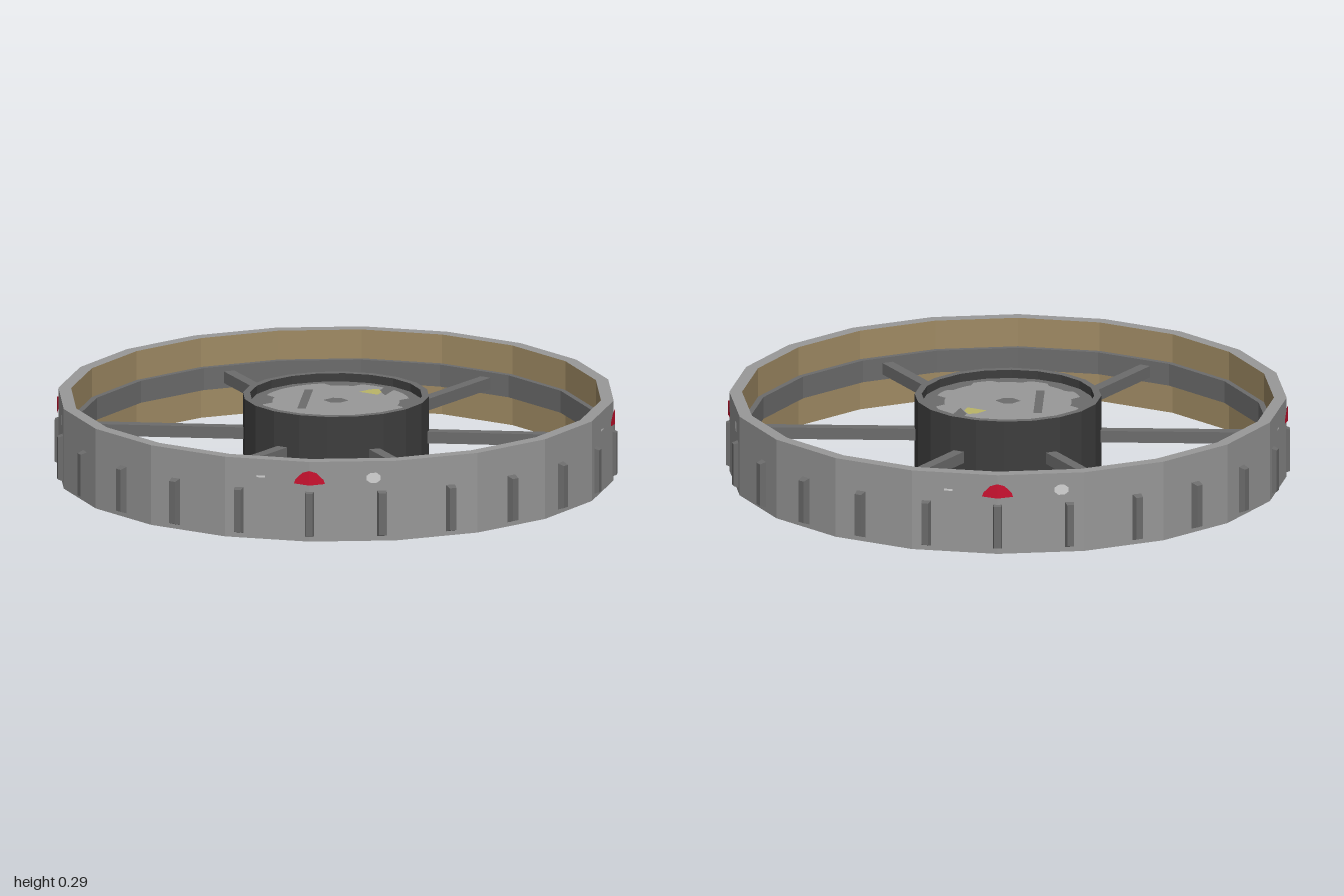
import * as THREE from 'three';

const SIDES = 20, R = 0.985, H = 0.29, MID = H / 2;

export function createModel() {
  const model = new THREE.Group();
  model.name = 'spokedWheel';

  const mat = (name, color, double) => {
    const m = new THREE.MeshStandardMaterial({ color, flatShading: true });
    m.name = name;
    if (double) m.side = THREE.DoubleSide;
    return m;
  };
  const lightGrey = mat('light grey', 0x989898);
  const darkGrey = mat('dark grey', 0x6c6c6c);
  const black = mat('charcoal', 0x3e3e3e);
  const tan = mat('tan', 0xa08b64);
  const red = mat('red', 0xcc1230, true);
  const yellow = mat('yellow', 0xbab568);
  const white = mat('pale grey', 0xd4d4d4, true);

  const add = (parent, name, geo, material) => {
    const m = new THREE.Mesh(geo, material);
    m.name = name;
    parent.add(m);
    return m;
  };
  const lathe = (pts) =>
    new THREE.LatheGeometry(pts.map(([x, y]) => new THREE.Vector2(x, y)), SIDES);
  const shape = (pts) => new THREE.Shape(pts.map(([x, y]) => new THREE.Vector2(x, y)));

  // Outer ring, its tan lining and the inner ledge holding the spokes
  add(model, 'ring', lathe([[0.94, 0], [R, 0], [R, 0.21], [R, H], [0.94, H]]), lightGrey);
  add(model, 'ringLining', lathe([[0.94, H], [0.94, 0]]), tan);
  add(model, 'ringLedge',
    lathe([[0.94, 0.105], [0.92, 0.105], [0.92, 0.185], [0.94, 0.185]].reverse()), darkGrey);

  // Tapered tread ribs around the ring
  const rib = new THREE.BoxGeometry(0.042, 0.18, 0.04);
  const p = rib.attributes.position;
  for (let i = 0; i < p.count; i++) {
    if (p.getZ(i) > 0) p.setXYZ(i, p.getX(i) * 0.6, p.getY(i) * 0.85, p.getZ(i));
  }
  rib.translate(0, 0.1, 0.977);
  for (let i = 0; i < 24; i++) {
    add(model, 'treadRib', rib, darkGrey).rotation.y = (i * Math.PI) / 12;
  }

  // Spokes
  const spoke = new THREE.BoxGeometry(0.61, 0.042, 0.04);
  spoke.translate(0.62, MID, 0);
  for (let i = 0; i < 6; i++) add(model, 'spoke', spoke, darkGrey).rotation.y = (i * Math.PI) / 3;

  // Painted marks, bent to follow the facets of the ring
  const bend = (shapes) => {
    const g = new THREE.ShapeGeometry(shapes);
    const q = g.attributes.position;
    for (let i = 0; i < q.count; i++) {
      q.setZ(i, R + 0.004 - Math.abs(q.getX(i)) * Math.tan(Math.PI / SIDES));
    }
    return g;
  };
  const half = (s) => shape([[0, 0.205], [s * 0.055, 0.21], [s * 0.05, 0.225],
    [s * 0.025, 0.25], [0, 0.258]]);
  const redMark = bend([half(1), half(-1)]);
  const dot = [];
  for (let i = 0; i < 8; i++) {
    const a = (i * Math.PI) / 4 + Math.PI / 8;
    dot.push([0.225 + 0.027 * Math.cos(a), 0.23 + 0.02 * Math.sin(a)]);
  }
  const dash = [[-0.19, 0.224], [-0.16, 0.224], [-0.16, 0.231], [-0.19, 0.231]];
  const paleMarks = bend([shape(dot), shape(dash)]);
  for (let i = 0; i < 4; i++) {
    add(model, 'redMark', redMark, red).rotation.y = (i * Math.PI) / 2;
    add(model, 'paleMarks', paleMarks, white).rotation.y = (i * Math.PI) / 2;
  }

  // Hub drum
  add(model, 'hubDrum', lathe([[0.33, 0], [0.33, H]]), black);

  // Hub face: shape y becomes -z, so outlines are written as [x, -z]
  const plate = (pts, y) => {
    const g = new THREE.ShapeGeometry(shape(pts));
    g.rotateX(-Math.PI / 2);
    return g.translate(0, y, 0);
  };
  const notches = [[0, 0.225], [90, 0.23], [180, 0.225], [225, 0.24], [270, 0.24], [315, 0.24]];
  const patch = [];
  for (let a = 0; a < 360; a += 5) {
    const hit = notches.find(([n]) => Math.abs(((a - n + 540) % 360) - 180) <= 10);
    const r = hit ? hit[1] : 0.262;
    const t = (a * Math.PI) / 180;
    patch.push([r * Math.cos(t), r * Math.sin(t)]);
  }
  const top = MID;
  const floor = top - 0.03;
  const makeFace = (name) => {
    const face = new THREE.Group();
    face.name = name;
    face.position.y = MID;
    add(face, 'hubRim', lathe([[0.33, top], [0.305, top]]), darkGrey);
    add(face, 'hubRecess', lathe([[0.305, top], [0.305, floor]]), black);
    add(face, 'hubFloor', lathe([[0.305, floor], [0, floor]]), darkGrey);
    add(face, 'hubPlate', plate(patch, floor + 0.004), lightGrey);
    add(face, 'centreDiamond', plate([[0.045, 0], [0.015, 0.035], [-0.015, 0.035],
      [-0.045, 0], [-0.015, -0.035], [0.015, -0.035]], floor + 0.008), darkGrey);
    add(face, 'slot', plate([[-0.125, -0.13], [-0.095, -0.13], [-0.095, 0.145],
      [-0.125, 0.145]], floor + 0.008), darkGrey);
    add(face, 'darkPatch', plate([[0.14, 0.16], [0.165, 0.09], [0.185, 0.16],
      [0.2, 0.2], [0.15, 0.2]], floor + 0.007), darkGrey);
    add(face, 'yellowMark', plate([[0.07, 0.125], [0.14, 0.09], [0.15, 0.13],
      [0.135, 0.17], [0.105, 0.165]], floor + 0.009), yellow);
    model.add(face);
    return face;
  };
  makeFace('hubTop');
  makeFace('hubBottom').rotation.x = Math.PI;

  return model;
}
